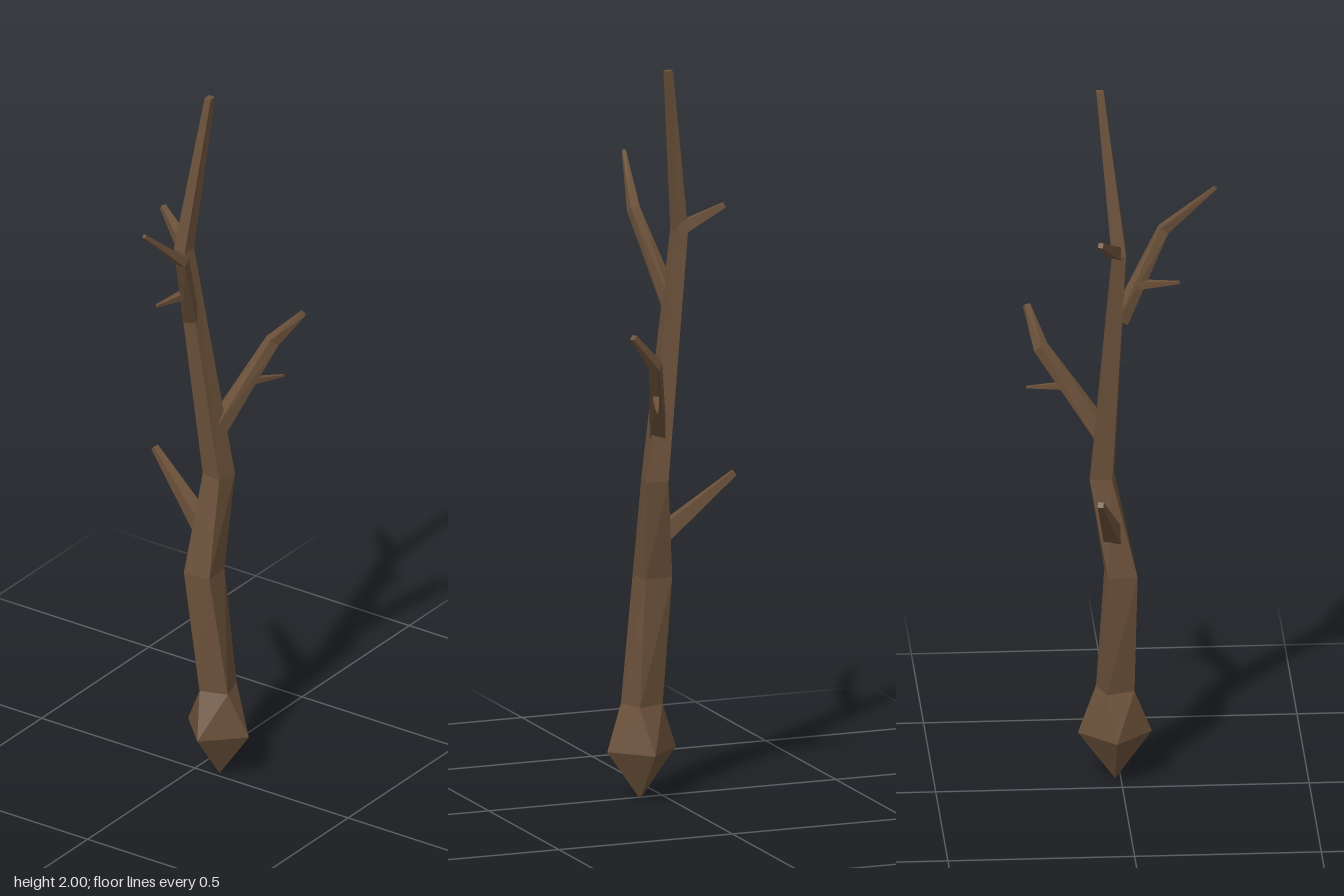
import * as THREE from 'three';

const Y = new THREE.Vector3(0, 1, 0);

// Four-sided limb through rings of [x, y, z, radius, twist in degrees]; level keeps rings horizontal
function limbGeometry(rings, level = false) {
  const centres = rings.map(([x, y, z]) => new THREE.Vector3(x, y, z));
  const last = rings.length - 1;
  const corners = rings.map(([, , , radius, twist = 45], i) => {
    const dir = level ? Y : centres[Math.min(i + 1, last)].clone()
      .sub(centres[Math.max(i - 1, 0)]).normalize();
    const u = level ? new THREE.Vector3(1, 0, 0) : dir.clone().cross(Y).normalize();
    const v = u.clone().cross(dir);
    return [0, 1, 2, 3].map((k) => {
      const a = THREE.MathUtils.degToRad(twist) + k * Math.PI / 2;
      return centres[i].clone()
        .addScaledVector(u, radius * Math.cos(a))
        .addScaledVector(v, radius * Math.sin(a));
    });
  });
  const points = [];
  for (let k = 0; k < 4; k++) {
    const n = (k + 1) % 4;
    for (let i = 0; i < last; i++) {
      const [a, b] = [corners[i][k], corners[i][n]];
      const [c, d] = [corners[i + 1][k], corners[i + 1][n]];
      points.push(a, c, b, b, c, d);
    }
    points.push(corners[last][k], centres[last], corners[last][n]); // end cap
  }
  const geometry = new THREE.BufferGeometry().setFromPoints(points);
  geometry.computeVertexNormals();
  return geometry;
}

export function createModel() {
  const group = new THREE.Group();
  group.name = 'bareTree';
  const bark = new THREE.MeshStandardMaterial({ color: 0x6b513a, flatShading: true });
  bark.name = 'brown bark';

  const add = (name, rings, level) => {
    const mesh = new THREE.Mesh(limbGeometry(rings, level), bark);
    mesh.name = name;
    group.add(mesh);
  };

  // Trunk with pointed root, twisting as it rises
  add('trunk', [
    [0.07, 0, -0.015, 0.001, 0],
    [0.066, 0.135, -0.016, 0.099, 0],
    [0.065, 0.26, -0.015, 0.056, 27],
    [0.029, 0.605, -0.002, 0.056, 41],
    [0.042, 0.88, -0.052, 0.043, 54],
    [-0.044, 1.55, -0.012, 0.027, 50],
    [0.007, 2, -0.06, 0.014, 45],
  ], true);

  // Branches
  add('lowerBranch', [[0.03, 0.705, -0.02, 0.034], [-0.18, 0.885, -0.07, 0.011]]);
  add('rearBranch', [
    [0.03, 1.0, -0.045, 0.03], [0.105, 1.23, -0.212, 0.021], [0.182, 1.322, -0.245, 0.011],
  ]);
  add('frontBranch', [
    [-0.02, 1.35, -0.01, 0.026], [0.038, 1.587, 0.112, 0.019], [0.01, 1.715, 0.25, 0.007],
  ]);

  // Small twigs
  add('upperTwig', [[-0.04, 1.55, -0.015, 0.025], [-0.152, 1.62, -0.068, 0.01]]);
  add('rearTwig', [[0.075, 1.13, -0.14, 0.014], [0.115, 1.112, -0.25, 0.004]]);
  add('frontTwig', [[-0.002, 1.445, 0.03, 0.017], [-0.017, 1.455, 0.152, 0.005]]);

  return group;
}
